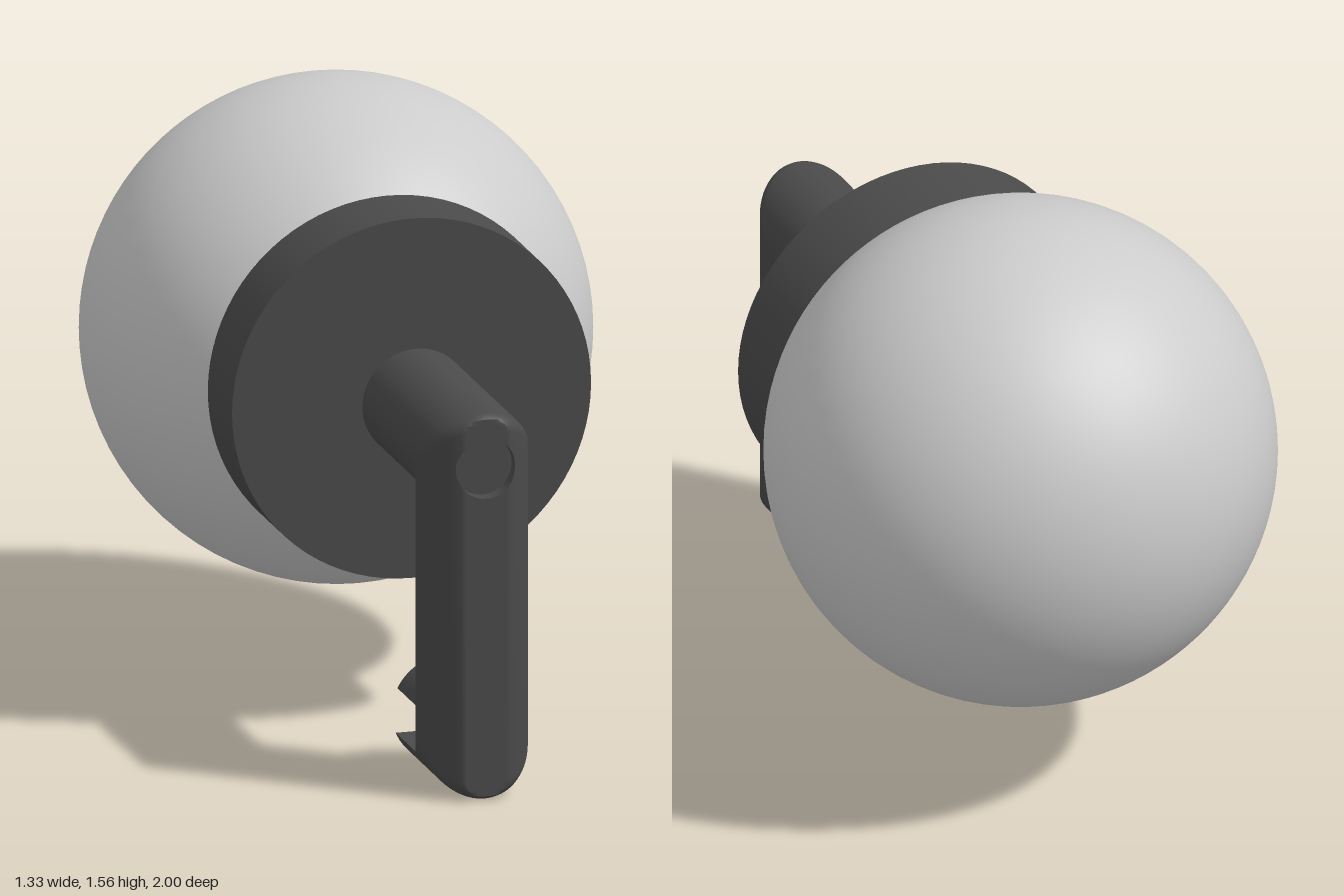
import * as THREE from 'three';
import { toCreasedNormals } from 'three/addons/utils/BufferGeometryUtils.js';

const R = 0.145;                 // arm radius
const POST_Z = 0.868;            // post axis
const ARM_Y = 0.895, FOOT_Y = 0.145; // axes of upper arm and foot
const FRONT = 1, ARM_END = 0.375, FOOT_END = 0.635;
const SLOT = { low: 0.09, high: 0.21, floor: 0.8 };
const HOLE = { r: 0.08, depth: 0.04 };

// Side outline [z, y] of the bracket at distance x from its middle plane
function sideOutline(x) {
  const w = Math.sqrt(Math.max(0, R * R - x * x));
  const pts = [];
  const add = (z, y) => pts.push([Math.min(z, FRONT), y]);
  const arc = (z, y, r, from, to) => {
    for (let i = 0; i <= 6; i++) {
      const a = THREE.MathUtils.degToRad(from + (to - from) * i / 6);
      add(z + r * Math.cos(a), y + r * Math.sin(a));
    }
  };
  const outer = 0.04 * w / R, inner = 0.07 * w / R;
  const front = Math.min(FRONT, POST_Z + w), back = POST_Z - w;

  // upper arm and outer elbow
  add(ARM_END, ARM_Y + w);
  arc(POST_Z + w - outer, ARM_Y + w - outer, outer, 90, 0);
  // round recess in the front
  const inHole = Math.abs(x) < HOLE.r;
  const chord = inHole ? Math.sqrt(HOLE.r ** 2 - x * x) : 0;
  const recess = inHole ? FRONT - HOLE.depth : front;
  add(front, ARM_Y + chord);
  add(recess, ARM_Y + chord);
  add(recess, ARM_Y - chord);
  add(front, ARM_Y - chord);
  // lower outer corner, then the two prongs with the slot between
  arc(POST_Z + w - outer, FOOT_Y - w + outer, outer, 0, -90);
  const floor = Math.max(SLOT.floor, back);
  const hasLow = FOOT_Y - w < SLOT.low, hasHigh = FOOT_Y + w > SLOT.high;
  const low = Math.max(SLOT.low, FOOT_Y - w), high = Math.min(SLOT.high, FOOT_Y + w);
  const lowEnd = hasLow ? FOOT_END : floor, highEnd = hasHigh ? FOOT_END : floor;
  add(lowEnd, FOOT_Y - w);
  add(lowEnd, low);
  add(floor, low);
  add(floor, high);
  add(highEnd, high);
  add(highEnd, FOOT_Y + w);
  // inner fillets and underside of the arm
  const foot = hasHigh ? inner : 0;
  arc(back - foot, FOOT_Y + w + foot, foot, -90, 0);
  arc(back - inner, ARM_Y - w - inner, inner, 0, 90);
  add(ARM_END, ARM_Y - w);
  return pts;
}

// Bracket skin: side outlines joined from right to left
function bracketGeometry() {
  const half = [];
  for (let i = 1; i <= 20; i++) half.push(R * Math.sin(i / 20 * Math.PI / 2));
  for (let i = 1; i < 12; i++) half.push(HOLE.r * Math.sin(i / 12 * Math.PI / 2));
  // paired slices where the recess and the prongs end
  const ends = [HOLE.r, ...[FOOT_Y - SLOT.low, SLOT.high - FOOT_Y].map(w => Math.sqrt(R * R - w * w))];
  for (const e of ends) half.push(e - 1e-5, e + 1e-5);
  const xs = [0, ...half, ...half.map(x => -x)].sort((a, b) => a - b);
  const rings = xs.map(x => sideOutline(x).map(([z, y]) => new THREE.Vector3(x, y, z)));

  const pos = [];
  const tri = new THREE.Triangle();
  const face = (a, b, c) => {
    if (tri.set(a, b, c).getArea() > 1e-10) for (const p of [a, b, c]) pos.push(p.x, p.y, p.z);
  };
  for (let i = 0; i + 1 < rings.length; i++) {
    const p = rings[i], q = rings[i + 1];
    for (let j = 0; j < p.length; j++) {
      const k = (j + 1) % p.length;
      face(p[j], p[k], q[k]);
      face(p[j], q[k], q[j]);
    }
  }
  const geo = new THREE.BufferGeometry();
  geo.setAttribute('position', new THREE.Float32BufferAttribute(pos, 3));
  // enlarged while creasing so that small details stay distinct
  geo.scale(1000, 1000, 1000);
  const creased = toCreasedNormals(geo, 0.5);
  creased.scale(0.001, 0.001, 0.001);
  return creased;
}

export function createModel() {
  const group = new THREE.Group();
  const light = new THREE.MeshStandardMaterial({ color: 0xcccccc });
  const dark = new THREE.MeshStandardMaterial({ color: 0x4a4a4a });
  const part = (name, geo, mat, y = 0, z = 0) => {
    const mesh = new THREE.Mesh(geo, mat);
    mesh.name = name;
    mesh.position.set(0, y, z);
    group.add(mesh);
  };

  // globe, open where it enters the collar
  const globe = new THREE.SphereGeometry(0.665, 80, 56, 0, Math.PI * 2, 0, Math.PI - Math.asin(0.485 / 0.665));
  part('globe', globe.rotateX(-Math.PI / 2), light, ARM_Y, -0.335);

  // collar disc
  const collar = new THREE.CylinderGeometry(0.485, 0.485, 0.215, 80);
  part('collar', collar.rotateX(Math.PI / 2), dark, ARM_Y, 0.2275);

  // tapered neck between collar and arm
  const neck = new THREE.CylinderGeometry(R, 0.105, 0.04, 48);
  part('neck', neck.rotateX(Math.PI / 2), dark, ARM_Y, 0.355);

  // bent arm with slotted foot
  part('bracket', bracketGeometry(), dark);
  return group;
}
